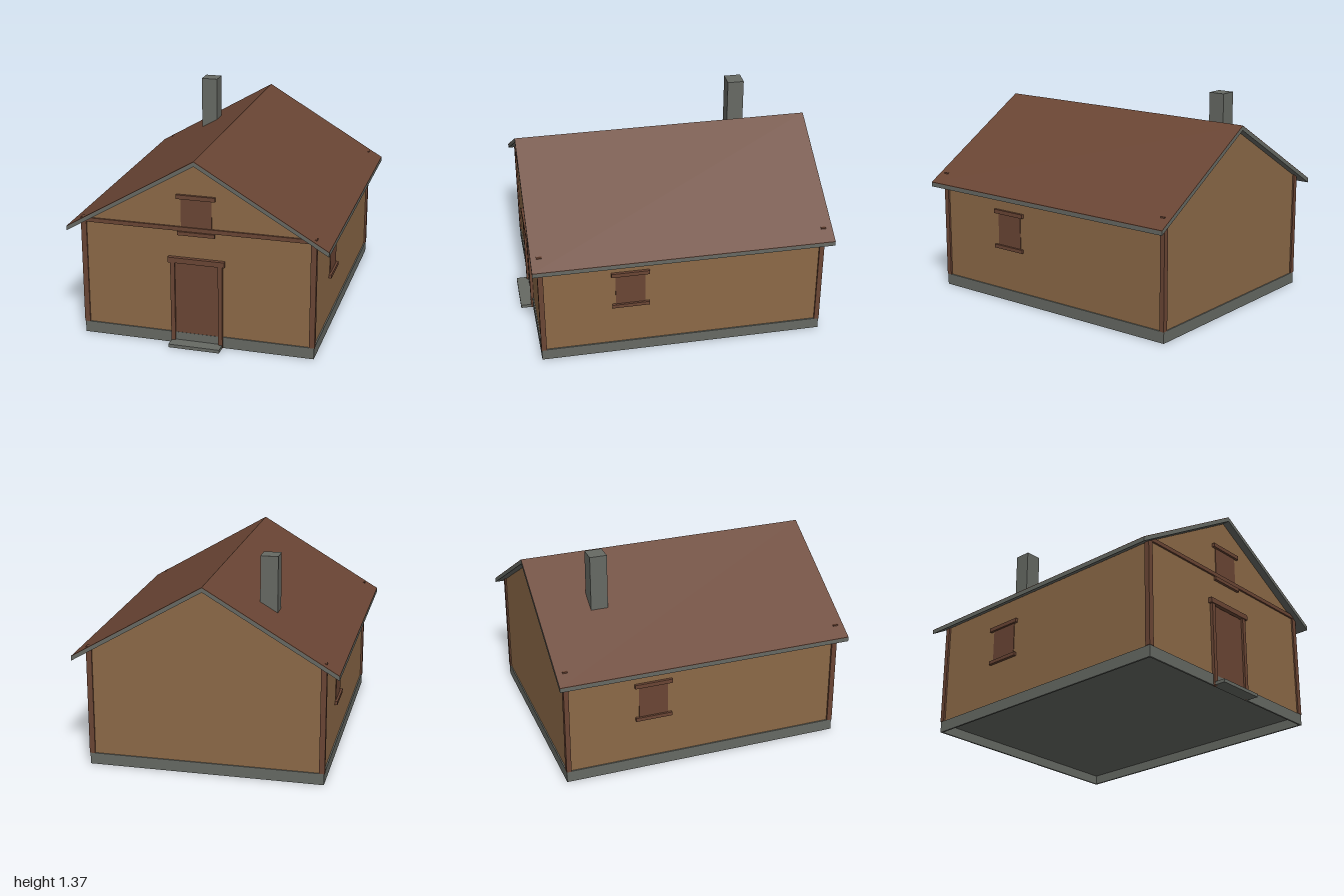
import * as THREE from 'three';

const mat = (name, color, side = THREE.FrontSide) => {
  const m = new THREE.MeshStandardMaterial({ color, side });
  m.name = name;
  return m;
};

export function createModel() {
  const house = new THREE.Group();
  house.name = 'house';
  const plaster = mat('ochre plaster', 0x8c6947);
  const wood = mat('brown wood', 0x6a4534);
  const stone = mat('grey stone', 0x666963);

  const add = (name, geometry, material, parent = house) => {
    const mesh = new THREE.Mesh(geometry, material);
    mesh.name = name;
    parent.add(mesh);
    return mesh;
  };
  // Box given by its extents on each axis
  const box = (name, material, [x0, x1], [y0, y1], [z0, z1], parent = house) => {
    const mesh = add(name, new THREE.BoxGeometry(x1 - x0, y1 - y0, z1 - z0), material, parent);
    mesh.position.set((x0 + x1) / 2, (y0 + y1) / 2, (z0 + z1) / 2);
    return mesh;
  };
  // Outline in x and y, extruded from z0 to z1
  const prism = (name, material, points, z0, z1) => {
    const shape = new THREE.Shape(points.map(([x, y]) => new THREE.Vector2(x, y)));
    const geometry = new THREE.ExtrudeGeometry(shape, { depth: z1 - z0, bevelEnabled: false });
    geometry.translate(0, 0, z0);
    return add(name, geometry, material);
  };

  // Foundation: a hollow plinth closed by a raised floor
  const X = 0.762, ZB = -0.955, ZF = 0.918, T = 0.012;
  for (const s of [-1, 1]) {
    const x = s * (X - T / 2);
    box('foundationSide', stone, [x - T / 2, x + T / 2], [0, 0.075], [ZB, ZF]);
  }
  box('foundationFront', stone, [-X + T, X - T], [0, 0.075], [ZF - T, ZF]);
  box('foundationBack', stone, [-X + T, X - T], [0, 0.075], [ZB, ZB + T]);
  box('floor', stone, [-X + T, X - T], [0.062, 0.074], [ZB + T, ZF - T]);
  box('doorStep', stone, [-0.168, 0.168], [0, 0.022], [ZF, 1.0]);

  // Walls with both gables
  prism('walls', plaster,
    [[-0.753, 0.07], [0.753, 0.07], [0.753, 0.77], [0, 1.212], [-0.753, 0.77]], -0.947, 0.91);

  // Corner posts, rising just through the roof
  for (const s of [-1, 1]) {
    for (const [z0, z1] of [[-0.957, -0.925], [0.885, 0.92]]) {
      const xs = [s * 0.73, s * 0.766].sort((a, b) => a - b);
      box('cornerPost', wood, xs, [0.075, 0.803], [z0, z1]);
    }
  }
  box('gableBeam', wood, [-0.75, 0.75], [0.773, 0.8], [0.9, 0.922]);

  // Roof: stone-edged slab with a brown covering
  const chevron = (top, bottom) => [
    [-0.85, 0.745 - bottom], [0, 1.245 - bottom], [0.85, 0.745 - bottom],
    [0.85, 0.745 - top], [0, 1.245 - top], [-0.85, 0.745 - top]];
  prism('roofSlab', stone, chevron(0.004, 0.031), -1.0, 0.957);
  prism('roofCovering', wood, chevron(0, 0.004), -1.0, 0.957);
  box('chimney', stone, [-0.403, -0.29], [0.95, 1.372], [-0.657, -0.545]);

  // Door with its frame
  const door = new THREE.Group();
  door.name = 'door';
  house.add(door);
  box('doorPanel', wood, [-0.142, 0.142], [0.075, 0.555], [0.9, 0.916], door);
  box('doorPostRight', wood, [-0.17, -0.142], [0.0, 0.56], [0.905, 0.93], door);
  box('doorPostLeft', wood, [0.142, 0.17], [0.0, 0.56], [0.905, 0.93], door);
  box('doorLintel', wood, [-0.185, 0.185], [0.56, 0.595], [0.905, 0.937], door);

  // Shuttered window, built facing +z with its wall at z = 0
  const shutteredWindow = (name, width, height, lintel, sill) => {
    const g = new THREE.Group();
    g.name = name;
    box('shutter', wood, [-width / 2, width / 2], [0, height], [-0.01, 0.004], g);
    box('windowLintel', wood, [-lintel / 2, lintel / 2], [height, height + 0.027], [-0.01, 0.018], g);
    box('windowSill', wood, [-sill / 2, sill / 2], [-0.024, 0], [-0.01, 0.018], g);
    house.add(g);
    return g;
  };
  shutteredWindow('gableWindow', 0.2, 0.215, 0.252, 0.242).position.set(0, 0.77, 0.91);
  const left = shutteredWindow('leftWindow', 0.195, 0.215, 0.25, 0.243);
  left.position.set(0.753, 0.379, 0.325);
  left.rotation.y = Math.PI / 2;
  const right = shutteredWindow('rightWindow', 0.195, 0.215, 0.25, 0.243);
  right.position.set(-0.753, 0.379, -0.365);
  right.rotation.y = -Math.PI / 2;

  return house;
}
